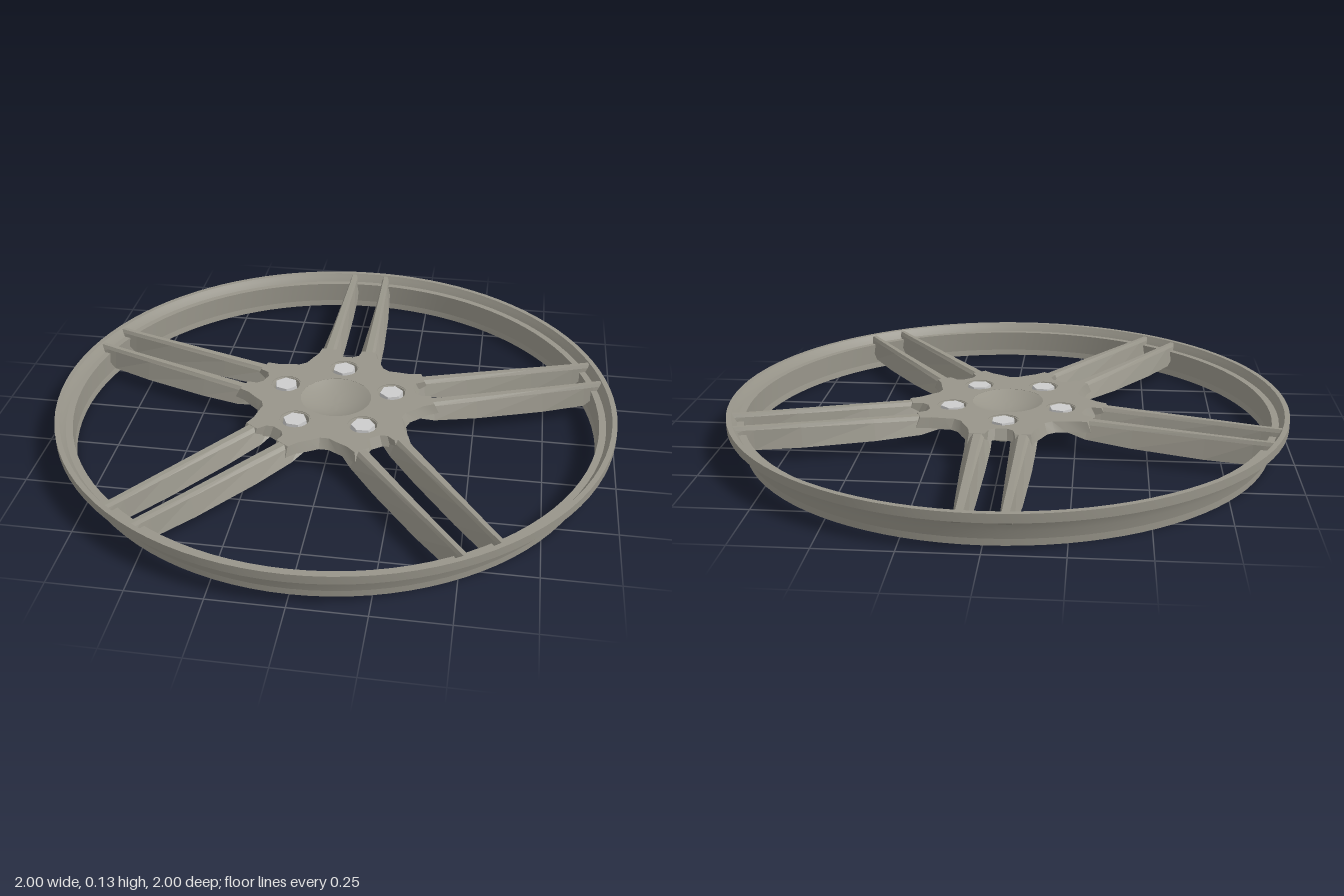
import * as THREE from 'three';
import { toCreasedNormals } from 'three/addons/utils/BufferGeometryUtils.js';

const metal = new THREE.MeshStandardMaterial({ color: 0x98958a, side: THREE.DoubleSide });
const steel = new THREE.MeshStandardMaterial({ color: 0xcccccc });
const STEP = Math.PI * 2 / 5;

function mesh(name, geometry, material = metal) {
  const m = new THREE.Mesh(geometry, material);
  m.name = name;
  return m;
}

function lathe(points, segments) {
  const g = new THREE.LatheGeometry(points.map(p => new THREE.Vector2(...p)), segments);
  return toCreasedNormals(g, 0.5);
}

// One tapering spoke running towards -z; side is +1 or -1 from the pair's centre line
function spokeGeometry(side) {
  // radius, inner foot, inner top, outer top, outer foot, top height, bottom height
  const stations = [
    [0.27, 0.032, 0.052, 0.105, 0.125, 0.118, 0.08],
    [0.34, 0.032, 0.053, 0.1, 0.122, 0.118, 0.06],
    [0.5, 0.034, 0.054, 0.095, 0.118, 0.12, 0.05],
    [0.75, 0.039, 0.055, 0.087, 0.106, 0.123, 0.044],
    [0.91, 0.044, 0.054, 0.082, 0.093, 0.125, 0.045],
    [0.945, 0.046, 0.054, 0.081, 0.09, 0.126, 0.07],
    [0.982, 0.05, 0.054, 0.08, 0.086, 0.127, 0.1],
  ];
  const rings = stations.map(([r, a, b, c, d, top, low]) => {
    const w = c - b;
    const ring = [[a, low], [b, top - 0.012], [b + w * 0.22, top], [c - w * 0.22, top], [c, top - 0.012], [d, low]]
      .map(([x, y]) => [x * side, y, -r]);
    return side > 0 ? ring : ring.reverse();
  });
  const pos = [];
  const tri = (...p) => p.forEach(v => pos.push(...v));
  for (let k = 0; k < rings.length - 1; k++) {
    const p = rings[k], q = rings[k + 1];
    for (let i = 0; i < 6; i++) {
      const j = (i + 1) % 6;
      tri(p[i], p[j], q[i]);
      tri(p[j], q[j], q[i]);
    }
  }
  const first = rings[0], last = rings[rings.length - 1];
  for (let i = 1; i < 5; i++) {
    tri(first[0], first[i + 1], first[i]);
    tri(last[0], last[i], last[i + 1]);
  }
  const g = new THREE.BufferGeometry();
  g.setAttribute('position', new THREE.Float32BufferAttribute(pos, 3));
  g.computeVertexNormals();
  return g;
}

// Star-shaped hub plate with bolt holes; its outer wall flares downwards
function hubGeometry() {
  const half = [[0.02, 0.29], [0.042, 0.305], [0.05, 0.34], [0.105, 0.34], [0.112, 0.3], [0.13, 0.262], [0.145, 0.226]];
  const outline = [...half.map(([x, y]) => [-x, y]).reverse(), ...half];
  const shape = new THREE.Shape();
  for (let k = 0; k < 5; k++) {
    outline.forEach(([x, y], i) => {
      const p = new THREE.Vector2(x, y).rotateAround(new THREE.Vector2(), -k * STEP);
      if (k + i === 0) shape.moveTo(p.x, p.y);
      else shape.lineTo(p.x, p.y);
    });
    const a = Math.PI / 2 - k * STEP;
    shape.holes.push(new THREE.Path().absarc(Math.cos(a) * 0.205, Math.sin(a) * 0.205, 0.054, 0, Math.PI * 2, true));
  }
  shape.closePath();
  shape.holes.push(new THREE.Path().absarc(0, 0, 0.128, 0, Math.PI * 2, true));
  const g = new THREE.ExtrudeGeometry(shape, { depth: 0.036, bevelEnabled: false, curveSegments: 12 });
  const p = g.attributes.position;
  for (let i = 0; i < p.count; i++) {
    const r = Math.hypot(p.getX(i), p.getY(i));
    if (p.getZ(i) < 0.01 && r > 0.2605) {
      const s = (r + 0.018) / r;
      p.setXY(i, p.getX(i) * s, p.getY(i) * s);
    }
  }
  g.rotateX(-Math.PI / 2).translate(0, 0.083, 0);
  return toCreasedNormals(g, 0.5);
}

export function createModel() {
  const model = new THREE.Group();
  model.name = 'wheel';

  // Rim: thin barrel with a wider lip on top
  model.add(mesh('rim', lathe([
    [0.936, 0], [0.94, 0], [0.94, 0.1], [1, 0.1], [1, 0.13], [0.982, 0.13],
    [0.975, 0.118], [0.958, 0.09], [0.945, 0.05], [0.936, 0],
  ], 96)));

  // Hub plate with a dished centre
  model.add(mesh('hub', hubGeometry()));
  const dish = [];
  for (let i = 0; i <= 8; i++) {
    const t = i / 8;
    dish.push([0.129 * t, 0.086 + 0.033 * t * t]);
  }
  model.add(mesh('centreDish', lathe(dish, 40)));

  // Five pairs of spokes, each with a bolt in its sleeve
  for (let k = 0; k < 5; k++) {
    const arm = new THREE.Group();
    arm.name = 'spokePair';
    arm.rotation.y = k * STEP;
    for (const side of [1, -1]) arm.add(mesh('spoke', spokeGeometry(side)));

    const sleeve = mesh('boltSleeve', lathe([
      [0.044, 0.06], [0.055, 0.06], [0.055, 0.117], [0.05, 0.117], [0.044, 0.105], [0.044, 0.06],
    ], 24));
    sleeve.position.z = -0.205;
    const bolt = mesh('bolt', toCreasedNormals(new THREE.CylinderGeometry(0.042, 0.047, 0.052, 6), 0.3), steel);
    bolt.position.set(0, 0.094, -0.205);
    arm.add(sleeve, bolt);
    model.add(arm);
  }
  return model;
}
